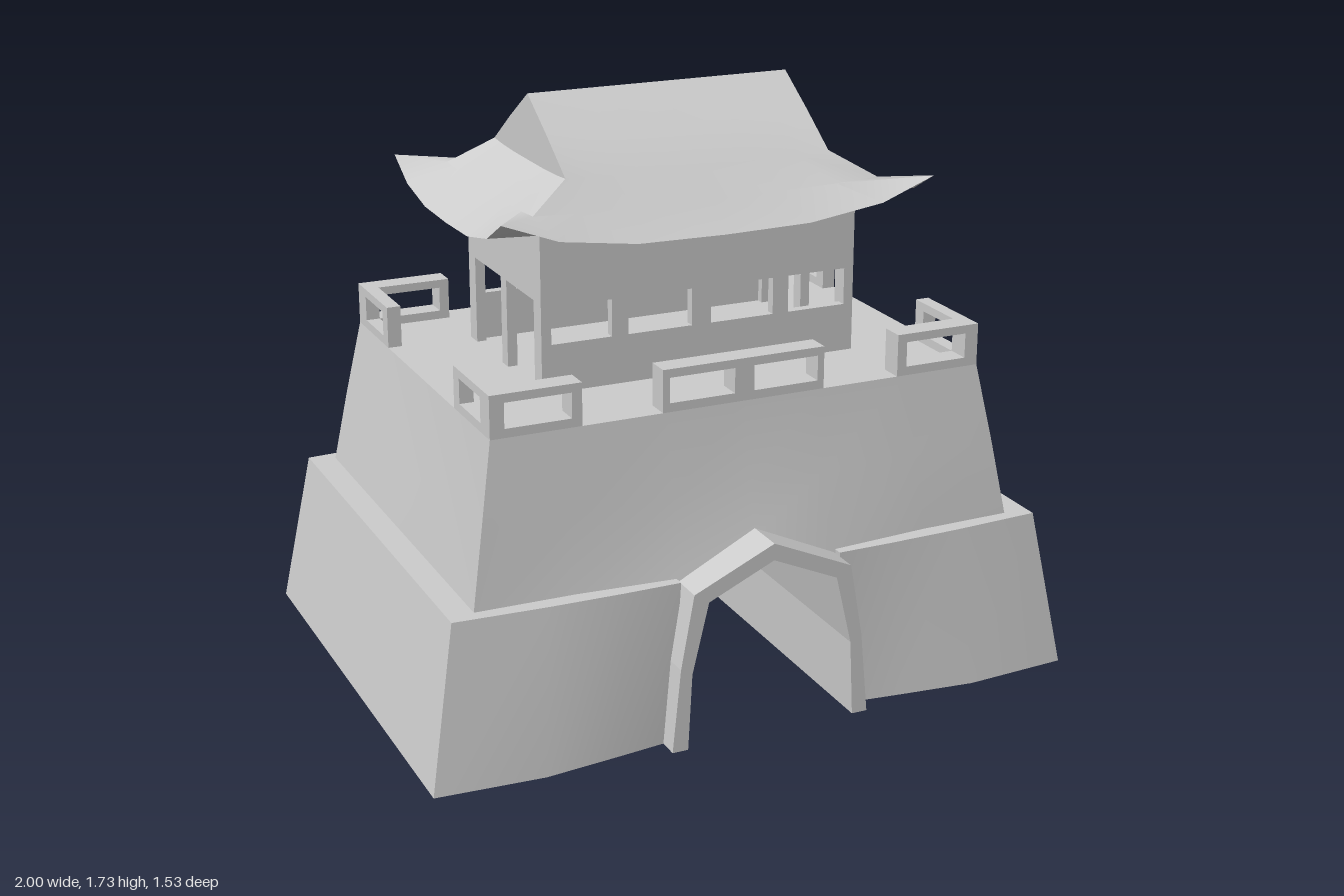
import * as THREE from 'three';
import { toCreasedNormals } from 'three/addons/utils/BufferGeometryUtils.js';

const grey = new THREE.MeshStandardMaterial({ color: 0xcccccc, side: THREE.DoubleSide });

function add(parent, name, geometry) {
  const mesh = new THREE.Mesh(geometry, grey);
  mesh.name = name;
  parent.add(mesh);
  return mesh;
}

// Box given by its minimum and maximum on each axis
function block(parent, name, x0, x1, y0, y1, z0, z1) {
  const mesh = add(parent, name, new THREE.BoxGeometry(x1 - x0, y1 - y0, z1 - z0));
  mesh.position.set((x0 + x1) / 2, (y0 + y1) / 2, (z0 + z1) / 2);
}

// Skin closed rings of points into a solid, with end caps
function loft(rings, crease = 0.5) {
  const pos = [];
  const v = (p) => new THREE.Vector3(...p);
  const tri = (a, b, c) => {
    const n = v(b).sub(v(a)).cross(v(c).sub(v(a)));
    if (n.length() > 1e-8) pos.push(...a, ...b, ...c);
  };
  const n = rings[0].length;
  for (let s = 0; s < rings.length - 1; s++) {
    for (let i = 0; i < n; i++) {
      const j = (i + 1) % n;
      const [a, b, c, d] = [rings[s][i], rings[s + 1][i], rings[s + 1][j], rings[s][j]];
      tri(a, b, c);
      tri(a, c, d);
    }
  }
  const first = rings[0], last = rings[rings.length - 1];
  for (let i = 1; i < n - 1; i++) {
    tri(first[0], first[i], first[i + 1]);
    tri(last[0], last[i + 1], last[i]);
  }
  const g = new THREE.BufferGeometry();
  g.setAttribute('position', new THREE.Float32BufferAttribute(pos, 3));
  return toCreasedNormals(g, crease);
}

// Cross-section of a wall mass: front heights listed upwards, mirrored to the back
function section(points) {
  const back = points.map(([x, y, z]) => [x, y, -z]).reverse();
  return [...points, ...back];
}

function buildBase(group) {
  // Lower tier: one battered block on each side of the passage
  const half = [
    // bottom x, top x, bottom z, top z
    [0.285, 0.25, 0.7, 0.69],
    [0.45, 0.42, 0.72, 0.69],
    [0.68, 0.64, 0.745, 0.685],
    [1.0, 0.915, 0.725, 0.67],
  ];
  for (const s of [1, -1]) {
    const rings = half.map(([xb, xt, zb, zt]) => section([[s * xb, 0, zb], [s * xt, 0.478, zt]]));
    if (s < 0) rings.reverse();
    add(group, s > 0 ? 'leftLowerWall' : 'rightLowerWall', loft(rings));
  }

  // Upper tier, its underside raised over the arch
  const stations = [
    // bottom x, middle x, top x, bottom y, bottom z
    [0.84, 0.8, 0.757, 0.47, 0.635],
    [0.56, 0.54, 0.52, 0.47, 0.64],
    [0.235, 0.235, 0.235, 0.465, 0.665],
    [0, 0, 0, 0.56, 0.65],
  ];
  const ring = (s) => ([xb, xm, xt, yb, zb]) =>
    section([[s * xb, yb, zb], [s * xm, 0.7, 0.606], [s * xt, 0.937, 0.57]]);
  add(group, 'upperWall', loft([
    ...stations.map(ring(-1)),
    ...stations.slice(0, 3).reverse().map(ring(1)),
  ]));

  // Arched lining running through the gate
  const outer = [[0.31, 0], [0.285, 0.25], [0.245, 0.47], [0, 0.58]];
  const inner = [[0, 0.53], [0.2, 0.44], [0.25, 0.23], [0.262, 0]];
  const mirror = (list) => list.filter((p) => p[0] > 0).map(([x, y]) => [-x, y]).reverse();
  const outline = [...outer, ...mirror(outer), ...mirror(inner), ...inner];
  const shape = new THREE.Shape(outline.map((p) => new THREE.Vector2(...p)));
  const arch = new THREE.ExtrudeGeometry(shape, { depth: 1.53, bevelEnabled: false });
  arch.translate(0, 0, -0.765);
  add(group, 'archLining', arch);
}

function buildRailings(group) {
  const y0 = 0.935, y1 = 0.963, y2 = 1.037, y3 = 1.062;
  // Parapet length along x or z with curb, top rail and posts
  const rail = (name, x0, x1, z0, z1, posts) => {
    block(group, name + 'Curb', x0, x1, y0, y1, z0, z1);
    block(group, name + 'Top', x0, x1, y2, y3, z0, z1);
    for (const p of posts) block(group, name + 'Post', ...p.slice(0, 2), y1, y2, ...p.slice(2));
  };
  for (const sz of [1, -1]) {
    const [za, zb] = sz > 0 ? [0.5, 0.57] : [-0.57, -0.5];
    rail('middleRail', -0.25, 0.25, za, zb,
      [[-0.25, -0.23, za, zb], [-0.03, 0.03, za, zb], [0.23, 0.25, za, zb]]);
    for (const sx of [1, -1]) {
      const [xa, xb] = sx > 0 ? [0.715, 0.757] : [-0.757, -0.715];
      const [xe, xf] = sx > 0 ? [0.49, 0.52] : [-0.52, -0.49];
      const [ze, zf] = sz > 0 ? [0.29, 0.335] : [-0.335, -0.29];
      const [x0, x1] = sx > 0 ? [xe, xa] : [xb, xf];
      rail('cornerRail', x0, x1, za, zb, [[xe, xf, za, zb]]);
      rail('cornerSideRail', xa, xb, Math.min(ze, za), Math.max(zf, zb),
        [[xa, xb, ze, zf], [xa, xb, za, zb]]);
    }
  }
}

function buildPavilion(group) {
  const floor = 0.935, top = 1.4, t = 0.03;
  for (const s of [1, -1]) {
    // Long walls with four windows
    const [z0, z1] = s > 0 ? [0.29 - t, 0.29] : [-0.29, t - 0.29];
    block(group, 'windowSill', -0.495, 0.495, floor, 1.08, z0, z1);
    block(group, 'windowLintel', -0.495, 0.495, 1.19, top, z0, z1);
    for (const [c, w] of [[-0.48, 0.03], [-0.255, 0.05], [0, 0.06], [0.255, 0.05], [0.48, 0.03]]) {
      block(group, 'windowPost', c - w / 2, c + w / 2, 1.08, 1.19, z0, z1);
    }
    // Open ends with a high lintel and three posts
    const [x0, x1] = s > 0 ? [0.495 - t, 0.495] : [-0.495, t - 0.495];
    block(group, 'endLintel', x0, x1, 1.2, top, -0.26, 0.26);
    for (const c of [-0.258, 0, 0.258]) {
      block(group, 'endPost', x0, x1, floor, 1.2, c - 0.022, c + 0.022);
    }
  }
}

function buildRoof(group) {
  // Rectangular ring with heights rising from mid-side to corner
  const steps = [-1, -0.75, -0.4, 0, 0.4, 0.75];
  const ring = (X, Z, yMid, yCorner) => {
    const y = (t) => yMid + (yCorner - yMid) * Math.abs(t) ** 3.5;
    return [
      ...steps.map((t) => [t * X, y(t), Z]),
      ...steps.map((t) => [X, y(t), -t * Z]),
      ...steps.map((t) => [-t * X, y(t), -Z]),
      ...steps.map((t) => [-X, y(t), t * Z]),
    ];
  };
  // Ridge, gable foot, flared skirt, eaves, then the soffit
  add(group, 'roof', loft([
    ring(0.41, 0, 1.733, 1.733),
    ring(0.41, 0.14, 1.638, 1.642),
    ring(0.41, 0.275, 1.54, 1.548),
    ring(0.535, 0.345, 1.462, 1.472),
    ring(0.665, 0.445, 1.385, 1.485),
    ring(0.48, 0.275, 1.388, 1.395),
  ], 0.6));
}

export function createModel() {
  const model = new THREE.Group();
  model.name = 'gatehouse';
  const parts = { base: buildBase, railings: buildRailings, pavilion: buildPavilion, roofGroup: buildRoof };
  for (const [name, build] of Object.entries(parts)) {
    const group = new THREE.Group();
    group.name = name;
    build(group);
    model.add(group);
  }
  return model;
}
